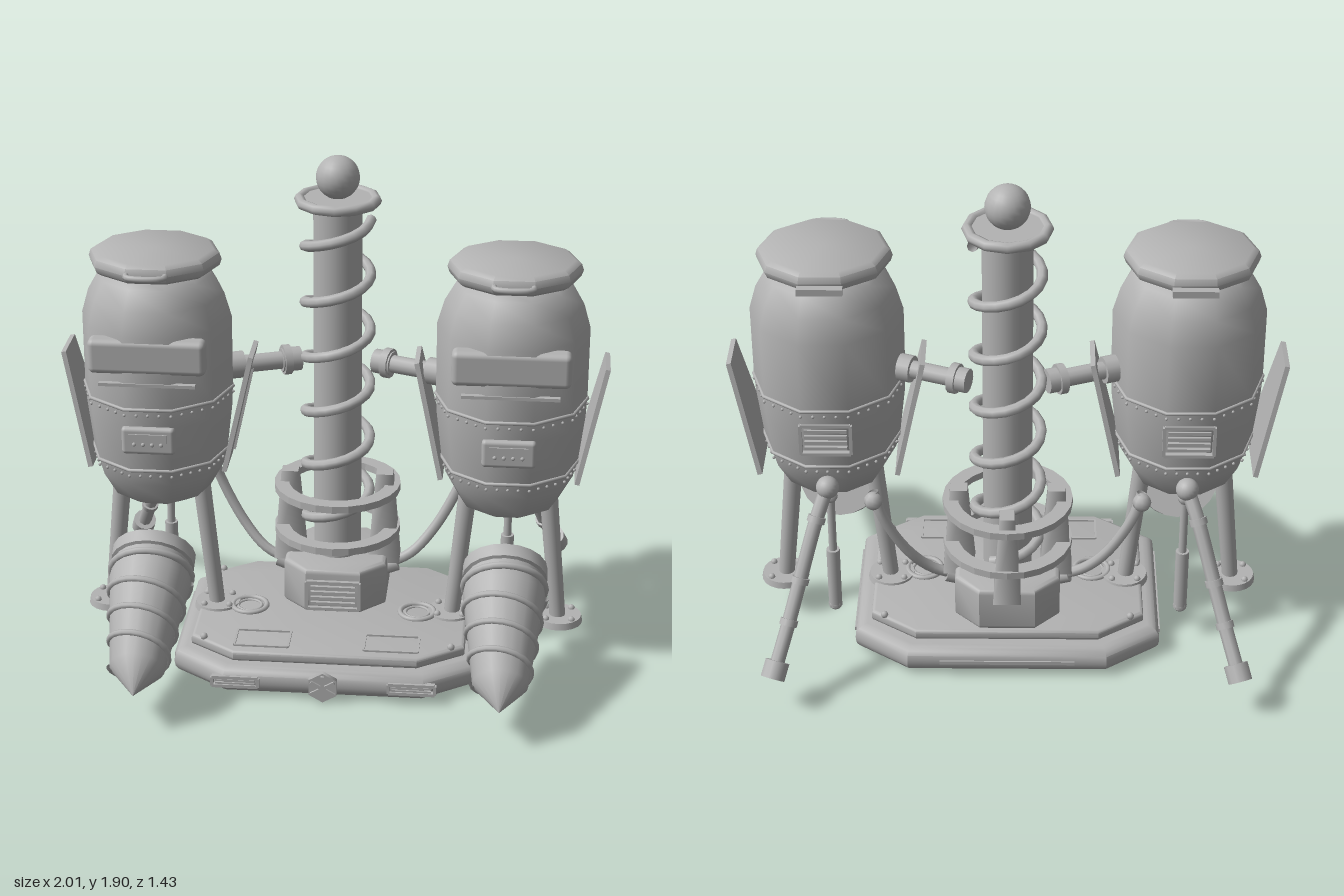
import * as THREE from 'three';
import { toCreasedNormals } from 'three/addons/utils/BufferGeometryUtils.js';
import { RoundedBoxGeometry } from 'three/addons/geometries/RoundedBoxGeometry.js';

const grey = new THREE.MeshStandardMaterial({ color: 0xb3b3b3, side: THREE.DoubleSide });
grey.name = 'plain grey';

const V = (x, y, z) => new THREE.Vector3(x, y, z);
const UP = V(0, 1, 0);

function add(parent, name, geo, x = 0, y = 0, z = 0) {
  const m = new THREE.Mesh(geo, grey);
  m.name = name;
  m.position.set(x, y, z);
  parent.add(m);
  return m;
}
// Straight rod between two points
function rod(parent, name, a, b, r1, r2 = r1, sides = 12) {
  const d = b.clone().sub(a);
  const m = add(parent, name, new THREE.CylinderGeometry(r2, r1, d.length(), sides));
  m.position.copy(a).addScaledVector(d, 0.5);
  m.quaternion.setFromUnitVectors(UP, d.normalize());
  return m;
}
function ball(parent, name, r, x, y, z) {
  return add(parent, name, new THREE.SphereGeometry(r, r > 0.04 ? 20 : 8, r > 0.04 ? 14 : 6), x, y, z);
}
function box(parent, name, w, h, d, x, y, z) {
  return add(parent, name, new THREE.BoxGeometry(w, h, d), x, y, z);
}
function hoop(parent, name, r, t, x, y, z, sides = 24) {
  return add(parent, name, new THREE.TorusGeometry(r, t, 8, sides).rotateX(Math.PI / 2), x, y, z);
}
function tube(parent, name, pts, r, seg) {
  return add(parent, name, new THREE.TubeGeometry(new THREE.CatmullRomCurve3(pts), seg, r, 8));
}
function lathe(pts, sides, crease = 0.7) {
  const geo = new THREE.LatheGeometry(pts.map(p => new THREE.Vector2(p[0], p[1])), sides).rotateY(Math.PI / 2);
  return toCreasedNormals(geo, crease);
}
// Horizontal slab with cut corners and rounded edges, bottom at y = 0
function slab(w, d, cx, cz, h, bevel) {
  const a = w / 2 - bevel, b = d / 2 - bevel;
  const s = new THREE.Shape([[a, cz - b], [a, b - cz], [a - cx, b], [cx - a, b], [-a, b - cz], [-a, cz - b], [cx - a, -b], [a - cx, -b]]
    .map(p => new THREE.Vector2(p[0], p[1])));
  const g = new THREE.ExtrudeGeometry(s, { depth: h - 2 * bevel, bevelSize: bevel, bevelThickness: bevel, bevelSegments: 4 });
  return toCreasedNormals(g.rotateX(-Math.PI / 2).translate(0, bevel, 0), 0.6);
}
// Framed vent facing +z
function vent(parent, name, w, h, bars, x, y, z, turn = 0) {
  const g = new THREE.Group();
  g.name = name;
  g.position.set(x, y, z);
  g.rotation.y = turn;
  for (const s of [-1, 1]) {
    box(g, 'ventRail', w, 0.012, 0.02, 0, s * h / 2, 0);
    box(g, 'ventSide', 0.012, h, 0.02, s * w / 2, 0, 0);
  }
  for (let i = 1; i <= bars; i++) box(g, 'ventSlat', w * 0.85, h / bars * 0.4, 0.016, 0, -h / 2 + h * i / (bars + 1), 0);
  parent.add(g);
}

function buildBase(root) {
  const g = new THREE.Group();
  g.name = 'base';
  add(g, 'baseSlab', slab(1.14, 0.885, 0.17, 0.12, 0.105, 0.045), 0, 0.012, -0.025);
  add(g, 'deckPlate', slab(1.02, 0.75, 0.16, 0.11, 0.045, 0.015), 0, 0.112, -0.022);
  // Front badge
  add(g, 'badgeHexagon', new THREE.CylinderGeometry(0.06, 0.06, 0.02, 6).rotateX(Math.PI / 2), 0, 0.063, 0.422);
  for (let i = 0; i < 3; i++) box(g, 'badgeSpoke', 0.012, 0.1, 0.012, 0, 0.063, 0.434).rotation.z = i * Math.PI / 3;
  for (const s of [-1, 1]) {
    vent(g, 'baseVent', 0.17, 0.035, 2, s * 0.325, 0.065, 0.414);
    box(g, 'sideStrip', 0.012, 0.014, 0.5, s * 0.57, 0.065, -0.02);
    hoop(g, 'deckRing', 0.065, 0.01, s * 0.32, 0.16, -0.01);
    hoop(g, 'deckRingInner', 0.045, 0.006, s * 0.32, 0.158, -0.01);
    // Deck hatch outline
    for (const k of [-1, 1]) {
      box(g, 'hatchEdge', 0.2, 0.008, 0.008, s * 0.24, 0.16, 0.25 + k * 0.06);
      box(g, 'hatchEdge', 0.008, 0.008, 0.12, s * 0.24 + k * 0.1, 0.16, 0.25);
      ball(g, 'deckRivet', 0.014, s * 0.46, 0.16, -0.025 + k * 0.28);
    }
  }
  box(g, 'backStrip', 0.5, 0.014, 0.012, 0, 0.065, -0.467);
  root.add(g);
}

function buildTower(root) {
  const g = new THREE.Group();
  g.name = 'tower';
  g.position.z = -0.185;
  add(g, 'pedestal', slab(0.39, 0.4, 0.08, 0.08, 0.18, 0.02), 0, 0.152, 0);
  vent(g, 'pedestalVent', 0.2, 0.11, 4, 0, 0.23, 0.205);
  add(g, 'column', new THREE.CylinderGeometry(0.09, 0.09, 1.42, 24), 0, 1.03, 0);
  hoop(g, 'topRing', 0.14, 0.02, 0, 1.735, 0, 12);
  add(g, 'topDisc', new THREE.CylinderGeometry(0.13, 0.13, 0.02, 12), 0, 1.735, 0);
  ball(g, 'topBall', 0.08, 0, 1.82, 0);
  // Coil winding down the column
  const pts = [], turns = 5.9;
  for (let i = 0; i <= turns * 12; i++) {
    const a = i / 12 * Math.PI * 2;
    pts.push(V(Math.cos(a) * 0.122, 1.665 - i / 12 * 0.217, Math.sin(a) * 0.122));
  }
  tube(g, 'coil', pts, 0.02, 110);
  // Collar hoops held by three tapered posts
  const collar = new THREE.Shape().absarc(0, 0, 0.24, 0, Math.PI * 2);
  collar.holes.push(new THREE.Path().absarc(0, 0, 0.185, 0, Math.PI * 2));
  for (const y of [0.415, 0.59]) {
    add(g, 'collar', new THREE.ExtrudeGeometry(collar, { depth: 0.028, bevelEnabled: false, curveSegments: 12 }).rotateX(-Math.PI / 2), 0, y, 0);
  }
  for (let i = 0; i < 3; i++) {
    const post = add(g, 'collarPost', new THREE.CylinderGeometry(0.045, 0.085, 0.36, 4).rotateY(Math.PI / 4));
    post.scale.z = 0.85;
    post.position.set(Math.cos(i * Math.PI / 2) * 0.18, 0.48, -Math.sin(i * Math.PI / 2) * 0.18);
    post.rotation.y = i * Math.PI / 2;
  }
  root.add(g);
}

function buildDrill(parent) {
  const g = new THREE.Group();
  g.name = 'drill';
  g.position.set(0, 0.46, 0.18);
  g.quaternion.setFromUnitVectors(UP, V(0, -0.3, 0.535).normalize());
  add(g, 'drillBody', lathe([[0, 0], [0.155, 0], [0.155, 0.05], [0.143, 0.055], [0.15, 0.13], [0.1, 0.5], [0, 0.615]], 20));
  hoop(g, 'drillHoop', 0.148, 0.014, 0, 0.09, 0);
  const pts = [];
  for (let i = 0; i <= 56; i++) {
    const a = i / 16 * Math.PI * 2, t = i / 56, r = 0.15 - 0.05 * t;
    pts.push(V(Math.cos(a) * r, 0.13 + 0.37 * t, Math.sin(a) * r));
  }
  tube(g, 'drillThread', pts, 0.012, 80);
  parent.add(g);
}

// s = +1 for the left pod, -1 for the right; local x is measured outward
function buildPod(root, s) {
  const g = new THREE.Group();
  g.name = s > 0 ? 'leftPod' : 'rightPod';
  g.position.x = s * 0.65;
  const zc = -0.035;
  add(g, 'podBody', lathe([[0, 0.615], [0.13, 0.62], [0.185, 0.65], [0.235, 0.74], [0.252, 0.81], [0.272, 0.98], [0.276, 1.06],
    [0.276, 1.33], [0.25, 1.42], [0.21, 1.49], [0.17, 1.52], [0, 1.52]], 10, 0.9), 0, 0, zc);
  add(g, 'podCap', lathe([[0, 1.51], [0.215, 1.512], [0.235, 1.525], [0.243, 1.548], [0.235, 1.572], [0.215, 1.585], [0, 1.587]], 10), 0, 0, zc).scale.z = 0.93;
  // Seams with rivets
  for (const [y, r] of [[1.055, 0.276], [0.805, 0.252]]) {
    hoop(g, 'podSeam', r, 0.007, 0, y, zc, 10);
    for (let i = 0; i < 40; i++) {
      const a = i / 40 * Math.PI * 2, f = (i % 4) * Math.PI / 20 - Math.PI / 10;
      const d = r * Math.cos(Math.PI / 10) / Math.cos(f);
      ball(g, 'seamRivet', 0.006, Math.cos(a) * d, y - 0.022, zc + Math.sin(a) * d);
    }
  }
  // Face: visor, trim, badge panel, cap handle
  add(g, 'visor', new RoundedBoxGeometry(0.425, 0.13, 0.075, 3, 0.022), 0, 1.255, 0.195);
  box(g, 'visorTrim', 0.35, 0.012, 0.02, 0, 1.152, 0.222);
  add(g, 'frontPanel', new RoundedBoxGeometry(0.195, 0.105, 0.04, 3, 0.015), 0, 0.937, 0.222);
  box(g, 'panelInset', 0.14, 0.06, 0.008, 0, 0.937, 0.243);
  for (let i = 0; i < 4; i++) ball(g, 'panelStud', 0.008, -0.05 + i * 0.033, 0.928, 0.246);
  tube(g, 'capHandle', [V(-0.07, 1.55, 0.16), V(-0.065, 1.55, 0.2), V(0, 1.55, 0.215), V(0.065, 1.55, 0.2), V(0.07, 1.55, 0.16)], 0.011, 20);
  box(g, 'capHinge', 0.16, 0.025, 0.03, 0, 1.53, -0.265);
  vent(g, 'backVent', 0.18, 0.12, 4, 0, 0.935, -0.292, Math.PI);
  // Tilted side fins
  const fin = new THREE.Shape([[-0.155, 0], [0.155, 0], [0.088, 0.44], [-0.088, 0.44]].map(p => new THREE.Vector2(p[0], p[1])));
  for (const k of [-1, 1]) {
    const f = new THREE.Group();
    f.name = 'sideFin';
    f.position.set(k * 0.25, 0.75, -0.09);
    f.rotation.z = -k * 0.22;
    add(f, 'finPlate', new THREE.ExtrudeGeometry(fin, { depth: 0.018, bevelEnabled: false }).rotateY(Math.PI / 2), -0.009);
    box(f, 'finRib', 0.012, 0.34, 0.014, k * 0.012, 0.2, 0);
    g.add(f);
    // Support leg and foot
    rod(g, 'leg', V(k * 0.15, 0.66, zc), V(k * 0.2, 0.16, zc), 0.034, 0.03);
    add(g, 'foot', new THREE.CylinderGeometry(0.085, 0.09, 0.025, 20), k * 0.205, 0.153, zc);
    for (let i = 0; i < 4; i++) {
      const a = i * Math.PI / 2 + Math.PI / 4;
      ball(g, 'footBolt', 0.013, k * 0.205 + Math.cos(a) * 0.068, 0.168, zc + Math.sin(a) * 0.068);
    }
  }
  // Rear piston
  rod(g, 'pistonRod', V(0, 0.68, -0.22), V(0, 0.38, -0.22), 0.015);
  rod(g, 'pistonSleeve', V(0, 0.4, -0.22), V(0, 0.14, -0.22), 0.025);
  ball(g, 'pistonTop', 0.027, 0, 0.64, -0.22);
  ball(g, 'pistonEnd', 0.027, 0, 0.15, -0.22);
  // Trailing exhaust pipe with bands
  const path = [V(0, 0.74, -0.3), V(s * 0.04, 0.64, -0.37), V(s * 0.1, 0.44, -0.47), V(s * 0.14, 0.31, -0.55), V(s * 0.185, 0.18, -0.65)];
  tube(g, 'rearPipe', path, 0.026, 20);
  ball(g, 'pipeSocket', 0.042, 0, 0.74, -0.31);
  const dir = path[4].clone().sub(path[3]).normalize();
  rod(g, 'pipeEnd', path[4].clone().addScaledVector(dir, -0.025), path[4].clone().addScaledVector(dir, 0.04), 0.045);
  for (let i = 1; i < 4; i++) {
    const t = path[i + 1].clone().sub(path[i - 1]).normalize();
    rod(g, 'pipeBand', path[i].clone().addScaledVector(t, -0.012), path[i].clone().addScaledVector(t, 0.012), 0.033);
  }
  buildDrill(g);
  root.add(g);

  // Arm towards the column
  const a = V(s * 0.4, 1.115, -0.08), b = V(s * 0.14, 1.115, -0.18);
  const at = t => a.clone().lerp(b, t);
  rod(root, 'arm', a, b, 0.033);
  rod(root, 'armCollar', at(0.74), at(1), 0.045);
  rod(root, 'armCollarLip', at(0.76), at(0.86), 0.056);
  rod(root, 'armSocket', at(0), at(0.22), 0.05);
  // Cable from the pod to the pedestal
  tube(root, 'cable', [V(s * 0.49, 0.68, -0.25), V(s * 0.46, 0.58, -0.26), V(s * 0.37, 0.41, -0.24), V(s * 0.28, 0.31, -0.21), V(s * 0.18, 0.265, -0.19)], 0.02, 20);
  ball(root, 'cableSocket', 0.035, s * 0.49, 0.65, -0.265);
  rod(root, 'cablePlug', V(s * 0.23, 0.275, -0.195), V(s * 0.185, 0.26, -0.19), 0.032);
}

export function createModel() {
  const root = new THREE.Group();
  root.name = 'drillRig';
  buildBase(root);
  buildTower(root);
  for (const s of [1, -1]) buildPod(root, s);
  return root;
}
